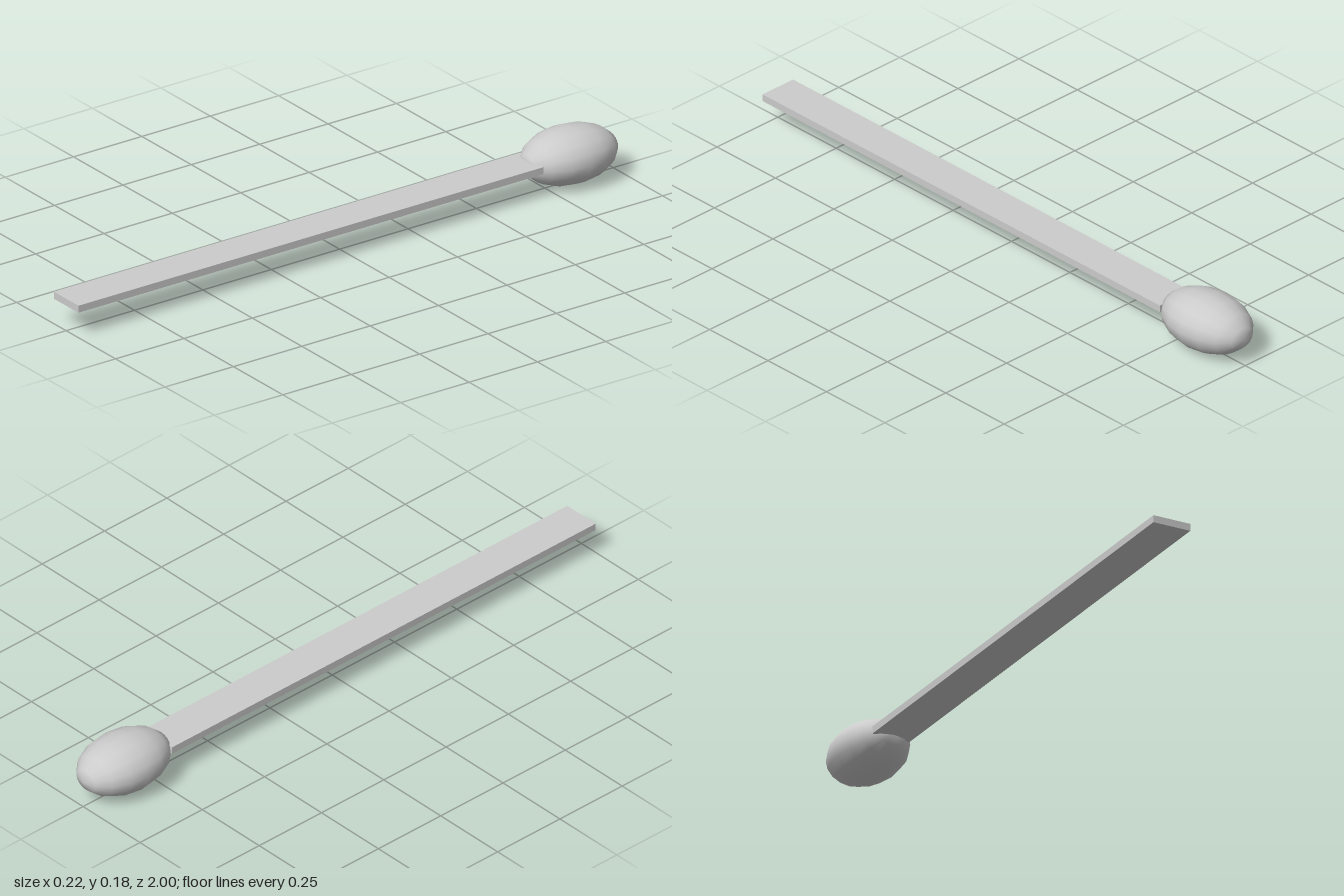
import * as THREE from 'three';

export function createModel() {
  const group = new THREE.Group();
  const material = new THREE.MeshStandardMaterial({ color: 0xcccccc });

  // Flat stick, its back end sunk into the head
  const stick = new THREE.Mesh(new THREE.BoxGeometry(0.125, 0.023, 1.7), material);
  stick.name = 'stick';
  stick.position.set(0, 0.0925, 0.15);
  group.add(stick);

  // Smooth egg-shaped head, poles along the stick
  const headShape = new THREE.SphereGeometry(1, 16, 8);
  headShape.rotateX(Math.PI / 2);
  headShape.scale(0.112, 0.088, 0.1625);
  const head = new THREE.Mesh(headShape, material);
  head.name = 'head';
  head.position.set(0, 0.088, -0.8375);
  group.add(head);

  return group;
}
